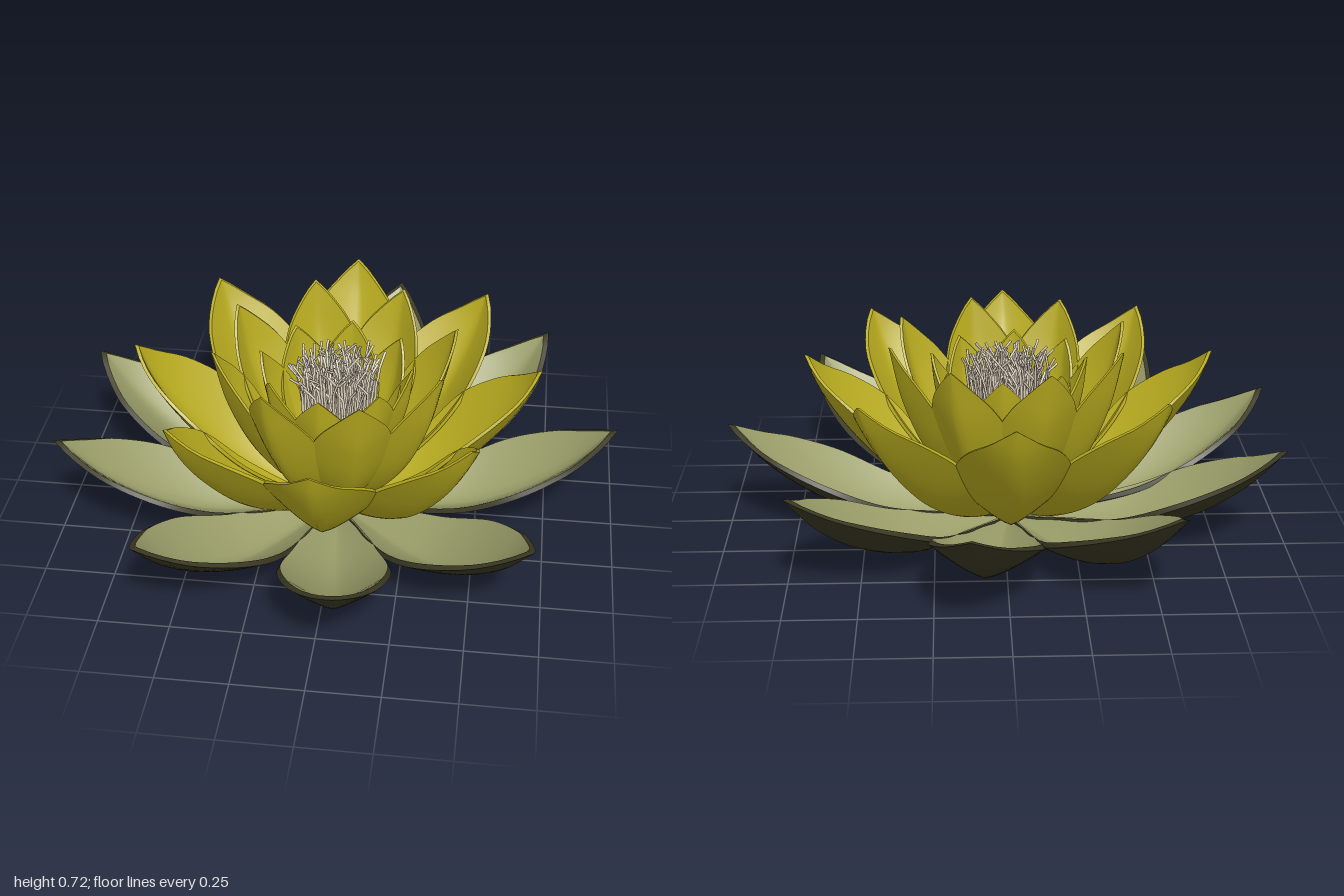
import * as THREE from 'three';
import { mergeGeometries } from 'three/addons/utils/BufferGeometryUtils.js';

const paint = (name, color) => {
  const m = new THREE.MeshStandardMaterial({ color });
  m.name = name;
  return m;
};

// Small seeded random generator
let seed = 7;
const rand = () => (seed = (seed * 16807) % 2147483647) / 2147483647;

// Smooth sheet through point(i, j); faces along d(i) x d(j), or the reverse when flipped
function sheet(rows, cols, point, flip) {
  const pos = [], idx = [];
  for (let i = 0; i <= rows; i++)
    for (let j = 0; j <= cols; j++) pos.push(...point(i, j).toArray());
  for (let i = 0; i < rows; i++)
    for (let j = 0; j < cols; j++) {
      const a = i * (cols + 1) + j, b = a + cols + 1;
      if (flip) idx.push(a, a + 1, b, b, a + 1, b + 1);
      else idx.push(a, b, a + 1, b, b + 1, a + 1);
    }
  const g = new THREE.BufferGeometry();
  g.setAttribute('position', new THREE.Float32BufferAttribute(pos, 3));
  g.setIndex(idx);
  g.computeVertexNormals();
  return g;
}

// Half width along a petal, as a share of the widest point
const outline = new THREE.SplineCurve([
  [0, 0.05], [0.15, 0.36], [0.35, 0.76], [0.6, 1], [0.8, 0.8], [0.93, 0.36], [1, 0],
].map(p => new THREE.Vector2(...p)));

// Cupped petal growing along +z: outer shell, rim and inner face
function petalGeometry({ profile, halfWidth, cup, thick, inset }) {
  const rows = 28, cols = 12;
  const spine = new THREE.CatmullRomCurve3(profile.map(([r, y]) => new THREE.Vector3(0, y, r)));
  const widths = outline.getPoints(200);
  const widthAt = u => {
    const k = Math.max(1, widths.findIndex(p => p.x >= u - 1e-6));
    const a = widths[k - 1], b = widths[k];
    return Math.max(0, a.y + (b.y - a.y) * (u - a.x) / (b.x - a.x));
  };
  const at = (u, v, shrink, lift) => {
    const s = u * (1 - 0.3 * shrink);
    const c = spine.getPointAt(s), t = spine.getTangentAt(s);
    const w = widthAt(u);
    // The cup flattens out towards the pointed tip
    const rise = cup * w * (1 - 0.75 * u ** 6) * Math.abs(v) ** 1.3 + lift * Math.min(1, u * 5);
    return new THREE.Vector3(
      halfWidth * w * v * (1 - shrink), c.y + t.z * rise, c.z - t.y * rise);
  };
  const outer = (i, j) => at(i / rows, j / cols * 2 - 1, 0, 0);
  const inner = (i, j) => at(i / rows, j / cols * 2 - 1, inset, thick);
  const rim = (k, j) => {
    const i = k <= rows ? k : 2 * rows - k, side = k <= rows ? 0 : cols;
    return j ? inner(i, side) : outer(i, side);
  };
  return {
    shell: mergeGeometries([sheet(rows, cols, outer, true), sheet(2 * rows, 1, rim, false)]),
    face: sheet(rows, cols, inner, false),
  };
}

// Ring of equal petals at the given angles in degrees (0 = +x, 90 = +z)
function petalRing(name, shape, angles, shellMat, faceMat) {
  const ring = new THREE.Group();
  ring.name = name + 'Ring';
  const { shell, face } = petalGeometry(shape);
  for (const a of angles) {
    const petal = new THREE.Group();
    petal.name = name;
    const back = new THREE.Mesh(shell, shellMat), front = new THREE.Mesh(face, faceMat);
    back.name = name + 'Back';
    front.name = name + 'Face';
    petal.add(back, front);
    petal.rotation.y = Math.PI / 2 - THREE.MathUtils.degToRad(a);
    ring.add(petal);
  }
  return ring;
}

const eight = start => Array.from({ length: 8 }, (_, k) => start + 45 * k);

export function createModel() {
  const yellow = paint('petalYellow', 0xb8ab1f);
  const darkGreen = paint('sepalDarkGreen', 0x3a3822);
  const paleGreen = paint('sepalPaleGreen', 0x9b9e69);
  const beige = paint('stamenBeige', 0xe4d8c2);

  const flower = new THREE.Group();
  flower.name = 'waterLily';
  const bloom = new THREE.Group();
  bloom.name = 'bloom';
  bloom.position.x = -0.02;
  flower.add(bloom);

  // Wide green sepals below
  bloom.add(petalRing('sepal', {
    profile: [[0, 0.005], [0.3, 0.003], [0.5, 0.03], [0.7, 0.115], [0.87, 0.24], [1.01, 0.4]],
    halfWidth: 0.193, cup: 0.11, thick: 0.016, inset: 0.06,
  }, [-81.5, -41.8, -1.7, 43.8, 83.7, 124.3, 164.3, 199.2, 238.4], darkGreen, paleGreen));

  // Three yellow rings, steeper towards the middle
  bloom.add(petalRing('outerPetal', {
    profile: [[0, 0.03], [0.2, 0.07], [0.4, 0.18], [0.58, 0.37], [0.68, 0.53], [0.725, 0.65]],
    halfWidth: 0.195, cup: 0.13, thick: 0.012, inset: 0.03,
  }, eight(0), yellow, yellow));
  bloom.add(petalRing('middlePetal', {
    profile: [[0, 0.05], [0.14, 0.11], [0.29, 0.28], [0.39, 0.5], [0.44, 0.72]],
    halfWidth: 0.15, cup: 0.09, thick: 0.01, inset: 0.03,
  }, eight(-17), yellow, yellow));
  bloom.add(petalRing('innerPetal', {
    profile: [[0, 0.07], [0.1, 0.13], [0.2, 0.3], [0.26, 0.48], [0.28, 0.64]],
    halfWidth: 0.12, cup: 0.065, thick: 0.01, inset: 0.03,
  }, eight(6), yellow, yellow));

  // Flower base under the stamens
  const base = new THREE.Mesh(new THREE.CylinderGeometry(0.07, 0.015, 0.14, 16), yellow);
  base.name = 'flowerBase';
  base.position.y = 0.072;
  bloom.add(base);

  // Tuft of thin, bent stamens
  const threads = [];
  for (let k = 0; k < 160; k++) {
    const a = k * 2.39996, r = 0.145 * Math.sqrt((k + 0.5) / 160);
    const x = Math.cos(a) * r, z = Math.sin(a) * r;
    const top = 0.59 + 0.07 * rand();
    const jitter = s => (rand() - 0.5) * s;
    const path = new THREE.CatmullRomCurve3([
      new THREE.Vector3(x * 0.4, 0.12, z * 0.4),
      new THREE.Vector3(x * 0.85 + jitter(0.02), 0.38, z * 0.85 + jitter(0.02)),
      new THREE.Vector3(x + jitter(0.03), top - 0.04, z + jitter(0.03)),
      new THREE.Vector3(x + jitter(0.08), top, z + jitter(0.08)),
    ]);
    threads.push(new THREE.TubeGeometry(path, 9, 0.0048, 5));
  }
  const stamens = new THREE.Mesh(mergeGeometries(threads), beige);
  stamens.name = 'stamens';
  bloom.add(stamens);

  return flower;
}
